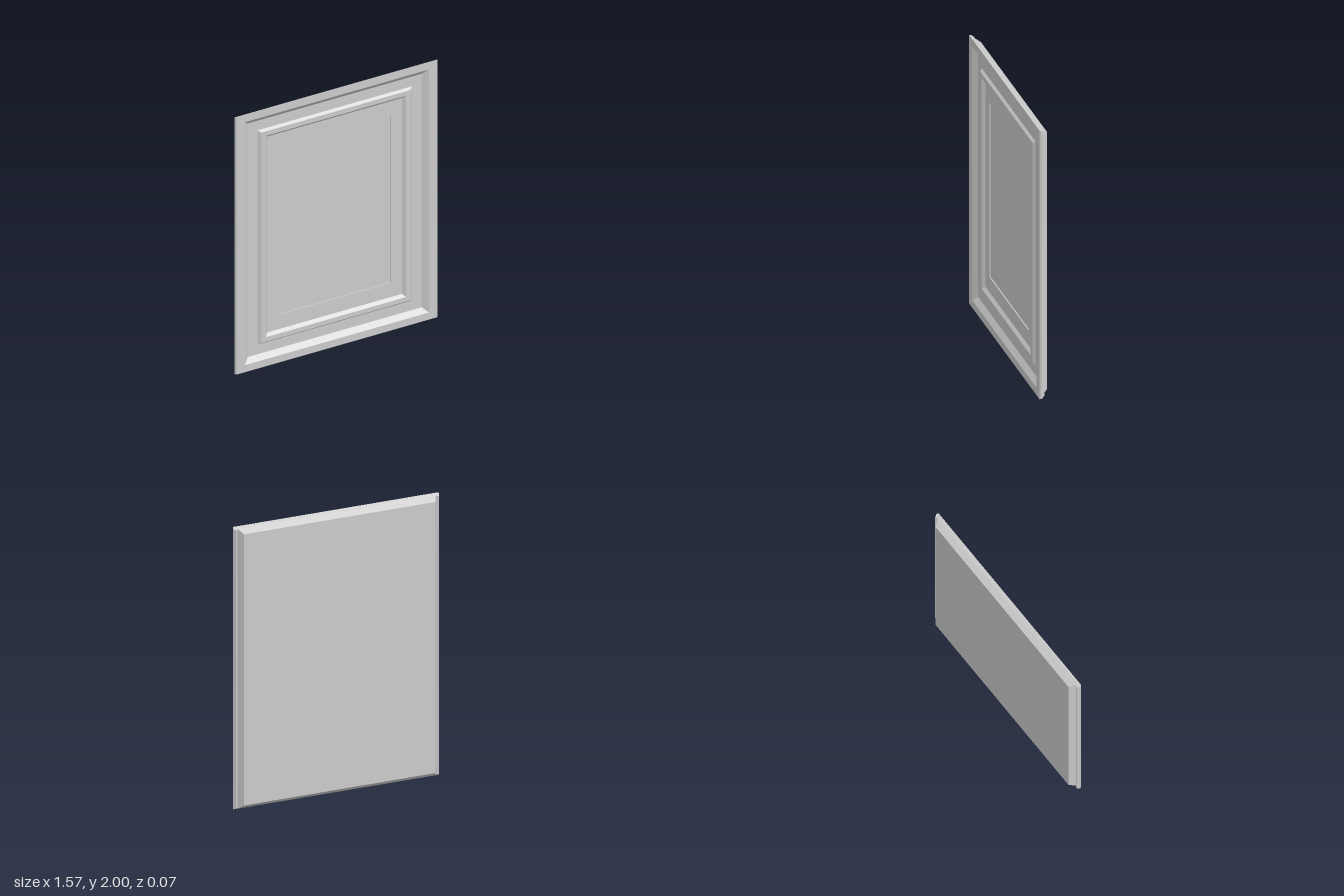
import * as THREE from 'three';

const FRONT = 0.033;
const BACK = -0.034;

// Nested rectangles of the moulded face, outside to inside: [half width, half height, z]
const FACE_STEPS = [
  [0.775, 1.0, FRONT],
  [0.71, 0.945, FRONT],   // flat outer frame
  [0.67, 0.908, 0.003],   // slope into the recess
  [0.595, 0.833, 0.003],  // recess floor
  [0.575, 0.818, 0.02],   // bead rises
  [0.54, 0.783, 0.02],    // bead top
  [0.52, 0.762, 0.0],     // bead falls
  [0.43, 0.65, 0.0],      // panel border
  [0.43, 0.65, -0.008],   // step into the centre field
];

// Half outline of the slab seen from above: [x, z], front to back
const EDGE = [[0.775, FRONT], [0.783, 0.02], [0.77, -0.002], [0.752, 0.01], [0.725, BACK]];

const corners = ([w, h, z]) => [[-w, 1 - h, z], [w, 1 - h, z], [w, 1 + h, z], [-w, 1 + h, z]];

function flatGeometry(positions) {
  const geometry = new THREE.BufferGeometry();
  geometry.setAttribute('position', new THREE.Float32BufferAttribute(positions, 3));
  geometry.computeVertexNormals();
  return geometry;
}

// Mitred rings between successive rectangles, closed by the centre field
function faceGeometry() {
  const out = [];
  const quad = (a, b, c, d) => out.push(...a, ...b, ...c, ...a, ...c, ...d);
  for (let s = 0; s < FACE_STEPS.length - 1; s++) {
    const outer = corners(FACE_STEPS[s]);
    const inner = corners(FACE_STEPS[s + 1]);
    for (let i = 0; i < 4; i++) {
      const j = (i + 1) % 4;
      quad(outer[i], outer[j], inner[j], inner[i]);
    }
  }
  quad(...corners(FACE_STEPS[FACE_STEPS.length - 1]));
  return flatGeometry(out);
}

// Grooved slab extruded upwards, with its ends bevelled towards the back
function slabGeometry() {
  const outline = [...EDGE, ...EDGE.map(([x, z]) => [-x, z]).reverse()];
  const shape = new THREE.Shape(outline.map(([x, z]) => new THREE.Vector2(x, -z)));
  const extruded = new THREE.ExtrudeGeometry(shape, { depth: 2, bevelEnabled: false });
  extruded.rotateX(-Math.PI / 2);
  const solid = extruded.index ? extruded.toNonIndexed() : extruded;
  const p = solid.attributes.position;
  const out = [];
  for (let t = 0; t < p.count; t += 3) {
    const triangle = [t, t + 1, t + 2];
    // The front is left open for the moulded face
    if (triangle.every((i) => p.getZ(i) > FRONT - 0.001)) continue;
    for (const i of triangle) {
      const inset = Math.max(0, 0.025 - p.getZ(i)) * 0.68;
      out.push(p.getX(i), p.getY(i) > 1 ? 2 - inset : inset, p.getZ(i));
    }
  }
  return flatGeometry(out);
}

export function createModel() {
  const group = new THREE.Group();
  group.name = 'panelDoor';
  const material = new THREE.MeshStandardMaterial({ color: 0xcccccc, flatShading: true });
  const parts = { mouldedFace: faceGeometry(), doorSlab: slabGeometry() };
  for (const [name, geometry] of Object.entries(parts)) {
    const mesh = new THREE.Mesh(geometry, material);
    mesh.name = name;
    group.add(mesh);
  }
  return group;
}
